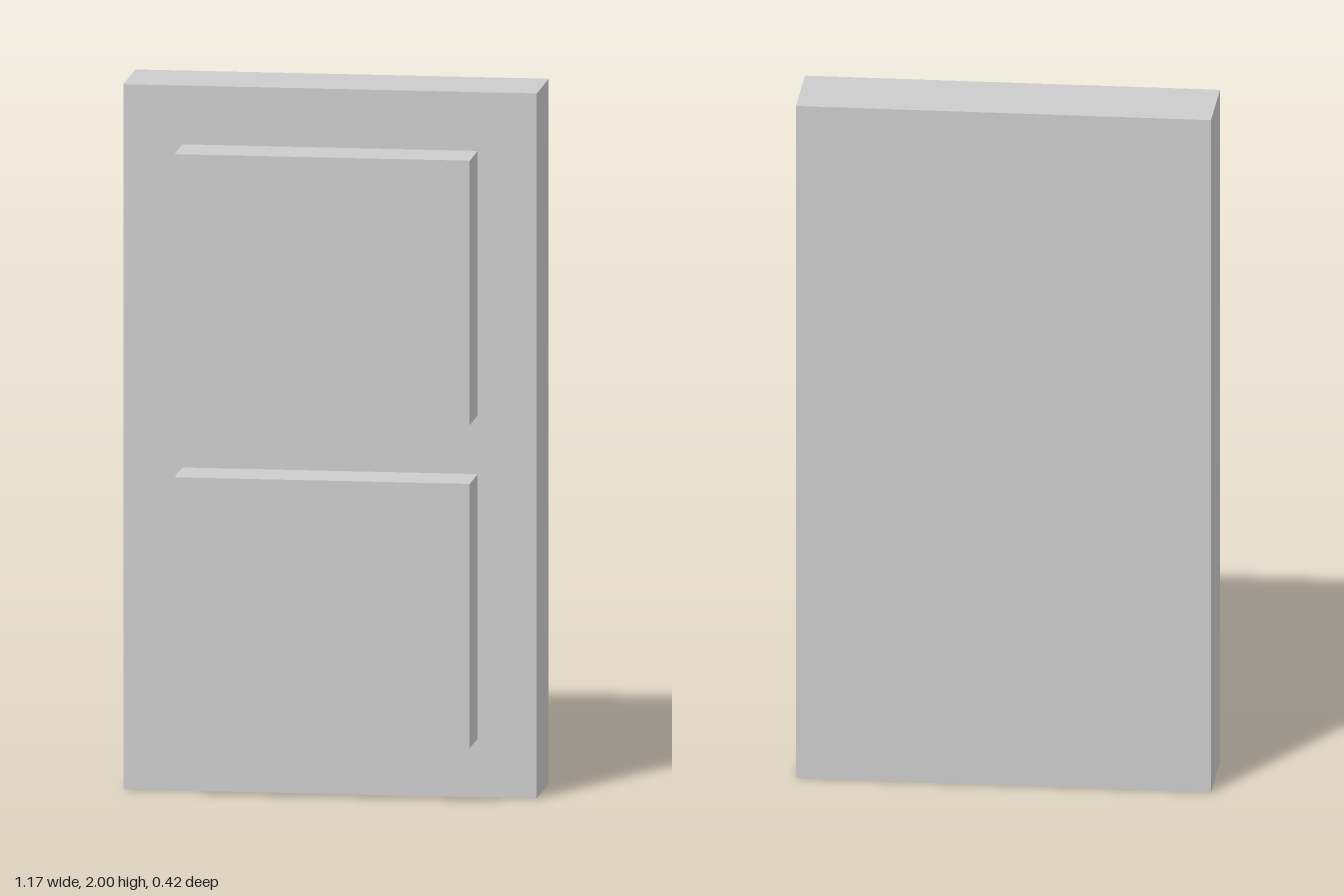
import * as THREE from 'three';

const U = 1 / 12; // base module: the slab is 24 modules tall

export function createModel() {
  const group = new THREE.Group();
  const material = new THREE.MeshStandardMaterial({ color: 0xcccccc, flatShading: true });

  // Box placed by its bottom and back faces, centred on x
  function addBox(name, width, height, depth, bottom, back) {
    const mesh = new THREE.Mesh(new THREE.BoxGeometry(width * U, height * U, depth * U), material);
    mesh.position.set(0, (bottom + height / 2) * U, (back + depth / 2) * U);
    mesh.name = name;
    group.add(mesh);
  }

  // Back slab
  addBox('backSlab', 14, 24, 3, 0, -2.5);

  // Two raised panels on the front, one above the other
  addBox('lowerPanel', 10, 9, 2, 2, 0.5);
  addBox('upperPanel', 10, 9, 2, 13, 0.5);

  return group;
}
